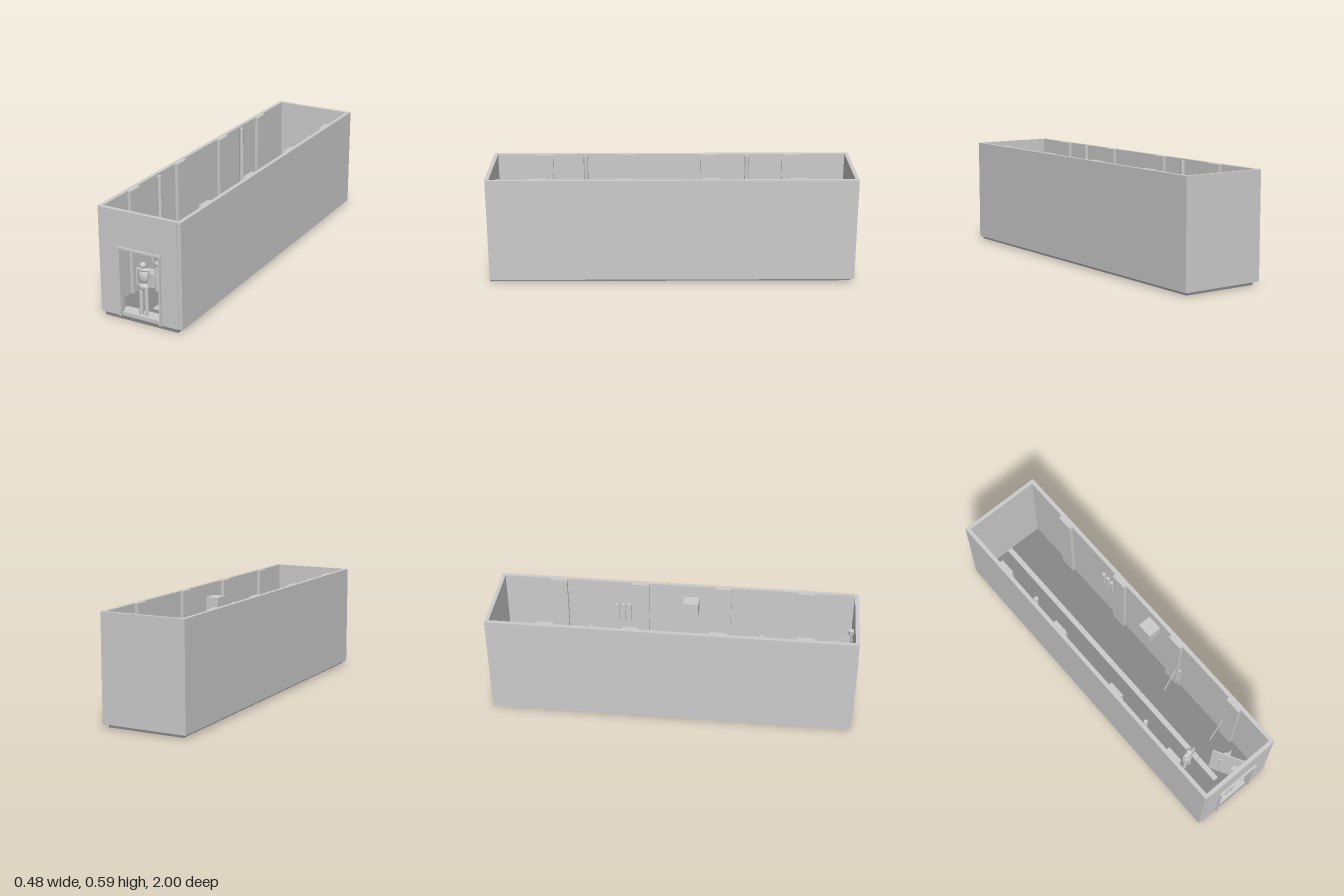
import * as THREE from 'three';

const light = new THREE.MeshStandardMaterial({ color: 0xcccccc });
light.name = 'lightGrey';
const dark = new THREE.MeshStandardMaterial({ color: 0x888888 });
dark.name = 'darkGrey';

function add(parent, name, geometry, x, y, z, material = light) {
  const mesh = new THREE.Mesh(geometry, material);
  mesh.name = name;
  mesh.position.set(x, y, z);
  parent.add(mesh);
  return mesh;
}

// Box given by its limits on each axis
function block(parent, name, [x0, x1], [y0, y1], [z0, z1], material = light) {
  const geometry = new THREE.BoxGeometry(x1 - x0, y1 - y0, z1 - z0);
  return add(parent, name, geometry, (x0 + x1) / 2, (y0 + y1) / 2, (z0 + z1) / 2, material);
}

function ellipsoid(parent, name, rx, ry, rz, y) {
  add(parent, name, new THREE.SphereGeometry(1, 24, 16), 0, y, 0).scale.set(rx, ry, rz);
}

// Thin round rod between two points
function rod(parent, name, a, b, radius) {
  const from = new THREE.Vector3(...a), to = new THREE.Vector3(...b);
  const dir = to.clone().sub(from);
  const mid = from.clone().add(to).multiplyScalar(0.5);
  const mesh = add(parent, name, new THREE.CylinderGeometry(radius, radius, dir.length(), 12), mid.x, mid.y, mid.z);
  mesh.quaternion.setFromUnitVectors(new THREE.Vector3(0, 1, 0), dir.normalize());
}

// Standing mannequin made from simple solids
function figure(x, z) {
  const g = new THREE.Group();
  g.name = 'figure';
  ellipsoid(g, 'head', 0.017, 0.017, 0.017, 0.311);
  ellipsoid(g, 'shoulders', 0.036, 0.011, 0.014, 0.288);
  ellipsoid(g, 'torso', 0.028, 0.038, 0.017, 0.25);
  ellipsoid(g, 'hips', 0.028, 0.019, 0.017, 0.195);
  for (const s of [-1, 1]) {
    add(g, 'arm', new THREE.CylinderGeometry(0.005, 0.005, 0.091, 12), s * 0.038, 0.2425, 0);
    add(g, 'leg', new THREE.CylinderGeometry(0.012, 0.011, 0.15, 16), s * 0.0155, 0.117, 0);
  }
  g.position.set(x, 0, z);
  return g;
}

export function createModel() {
  const model = new THREE.Group();
  model.name = 'corridorRoom';
  const bottom = 0.022, top = 0.592;

  // Floor with a central walkway strip
  block(model, 'floor', [-0.214, 0.214], [0.004, bottom], [-0.98, 0.986], dark);
  const seams = [-0.98, -0.78, -0.53, -0.28, -0.035, 0.21, 0.46, 0.71, 0.865];
  for (let i = 0; i < seams.length - 1; i++) {
    block(model, 'walkwayStrip', [-0.015, 0.015], [bottom, 0.026], [seams[i] + 0.001, seams[i + 1] - 0.001]);
  }

  // Side walls with pilasters
  for (const s of [-1, 1]) {
    add(model, 'sideWall', new THREE.BoxGeometry(0.022, top - bottom, 1.985), s * 0.227, (top + bottom) / 2, -0.0075);
    for (let i = 0; i < 4; i++) {
      add(model, 'pilaster', new THREE.BoxGeometry(0.018, top - bottom, 0.092), s * 0.207, (top + bottom) / 2, -0.675 + i * 0.46);
    }
  }
  block(model, 'backWall', [-0.216, 0.216], [bottom, top], [-1, -0.98]);

  // Front wall with door opening
  const wall = new THREE.Shape([
    [-0.216, bottom], [-0.112, bottom], [-0.112, 0.39], [0.112, 0.39],
    [0.112, bottom], [0.216, bottom], [0.216, top], [-0.216, top],
  ].map(([x, y]) => new THREE.Vector2(x, y)));
  add(model, 'frontWall', new THREE.ExtrudeGeometry(wall, { depth: 0.022, bevelEnabled: false }), 0, 0, 0.967);

  // Door frame, steps and open door
  for (const s of [-1, 1]) {
    add(model, 'doorPost', new THREE.BoxGeometry(0.01, 0.368, 0.036), s * 0.117, 0.206, 0.982);
  }
  block(model, 'doorLintel', [-0.126, 0.126], [0.39, 0.4], [0.964, 1]);
  block(model, 'threshold', [-0.111, 0.107], [bottom, 0.042], [0.95, 0.985]);
  block(model, 'innerStep', [-0.13, 0.137], [bottom, 0.04], [0.915, 0.967]);
  block(model, 'doorMat', [-0.142, 0.14], [bottom, 0.028], [0.862, 0.915], dark);
  const door = add(model, 'door', new THREE.BoxGeometry(0.006, 0.347, 0.197), 0.058, 0.2155, 0.87);
  door.rotation.y = Math.atan2(0.097, 0.172);

  // Lamp above the door, inside
  add(model, 'doorLamp', new THREE.CylinderGeometry(0.017, 0.013, 0.028, 16), 0, 0.5, 0.953);

  // People
  for (const [x, z] of [[0, 0.958], [-0.073, 0.695], [0.067, 0.835]]) model.add(figure(x, z));

  // Pipes along the right wall
  for (const z of [-0.43, 0.475]) {
    rod(model, 'wallPipe', [-0.2, bottom, z], [-0.2, 0.586, z], 0.012);
  }

  // Cluster of round sacks and a crate
  for (const [x, z, r] of [[-0.153, 0.35, 0.04], [-0.17, 0.41, 0.045], [-0.162, 0.51, 0.054]]) {
    const sack = add(model, 'roundSack', new THREE.IcosahedronGeometry(r, 2), x, bottom + r * 0.75, z, dark);
    sack.scale.y = 0.8;
  }
  block(model, 'crate', [-0.21, -0.125], [bottom, 0.1], [0.585, 0.614]);
  block(model, 'crate', [-0.21, -0.125], [bottom, 0.1], [0.616, 0.645]);

  // Wall unit and narrow panels on the left wall
  block(model, 'wallUnit', [0.14, 0.216], [0.44, 0.52], [0.025, 0.112]);
  for (const z of [-0.35, -0.315, -0.28]) {
    block(model, 'wallPanel', [0.2, 0.216], [0.345, 0.45], [z - 0.01, z + 0.01]);
  }

  // Slim rods leaning on the left wall
  rod(model, 'leaningRod', [0.125, 0.024, 0.28], [0.205, 0.25, 0.28], 0.004);
  rod(model, 'leaningRod', [0.125, 0.024, 0.67], [0.19, 0.25, 0.67], 0.004);
  rod(model, 'uprightRod', [0.208, 0, 0.305], [0.208, 0.25, 0.305], 0.006);
  return model;
}
